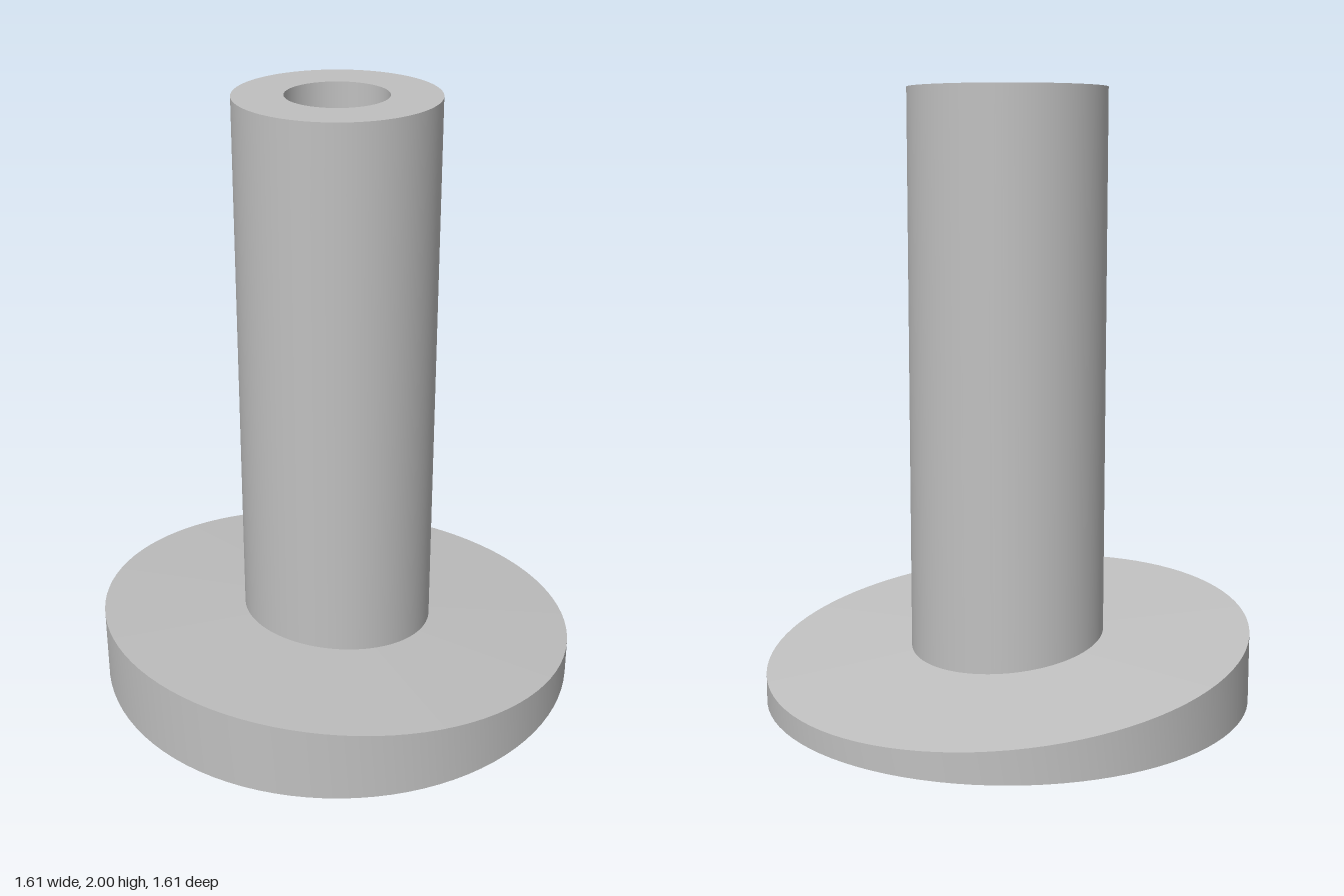
import * as THREE from 'three';
import { toCreasedNormals } from 'three/addons/utils/BufferGeometryUtils.js';

const BORE = 0.162, TUBE = 0.322, RIM = 0.807, HEIGHT = 2;
const SLOPE = 0.118; // rise of the wedge-shaped flange toward the front

// Revolves a profile of [radius, y, tilted] points; tilted rings lean with the flange top.
function turned(name, profile, material) {
  const points = profile.map(([r, y]) => new THREE.Vector2(r, y));
  const geometry = new THREE.LatheGeometry(points, 96);
  const pos = geometry.attributes.position;
  for (let i = 0; i < pos.count; i++) {
    if (profile[i % profile.length][2]) pos.setY(i, pos.getY(i) + SLOPE * pos.getZ(i));
  }
  const mesh = new THREE.Mesh(toCreasedNormals(geometry, 0.5), material);
  mesh.name = name;
  return mesh;
}

export function createModel() {
  const grey = new THREE.MeshStandardMaterial({ color: 0xc0c0c0 });
  grey.name = 'plain grey';
  const model = new THREE.Group();
  model.name = 'flangedBushing';

  // Wedge flange: flat underside, upright rim, sloping top slightly raised at the tube
  model.add(turned('flange', [
    [BORE, 0], [RIM, 0], [RIM, 0.17, true], [TUBE, 0.188, true],
  ], grey));

  // Hollow tube: outer wall, annular top, through bore
  model.add(turned('tube', [
    [TUBE, 0.188, true], [TUBE, HEIGHT], [BORE, HEIGHT], [BORE, 0],
  ], grey));

  return model;
}
